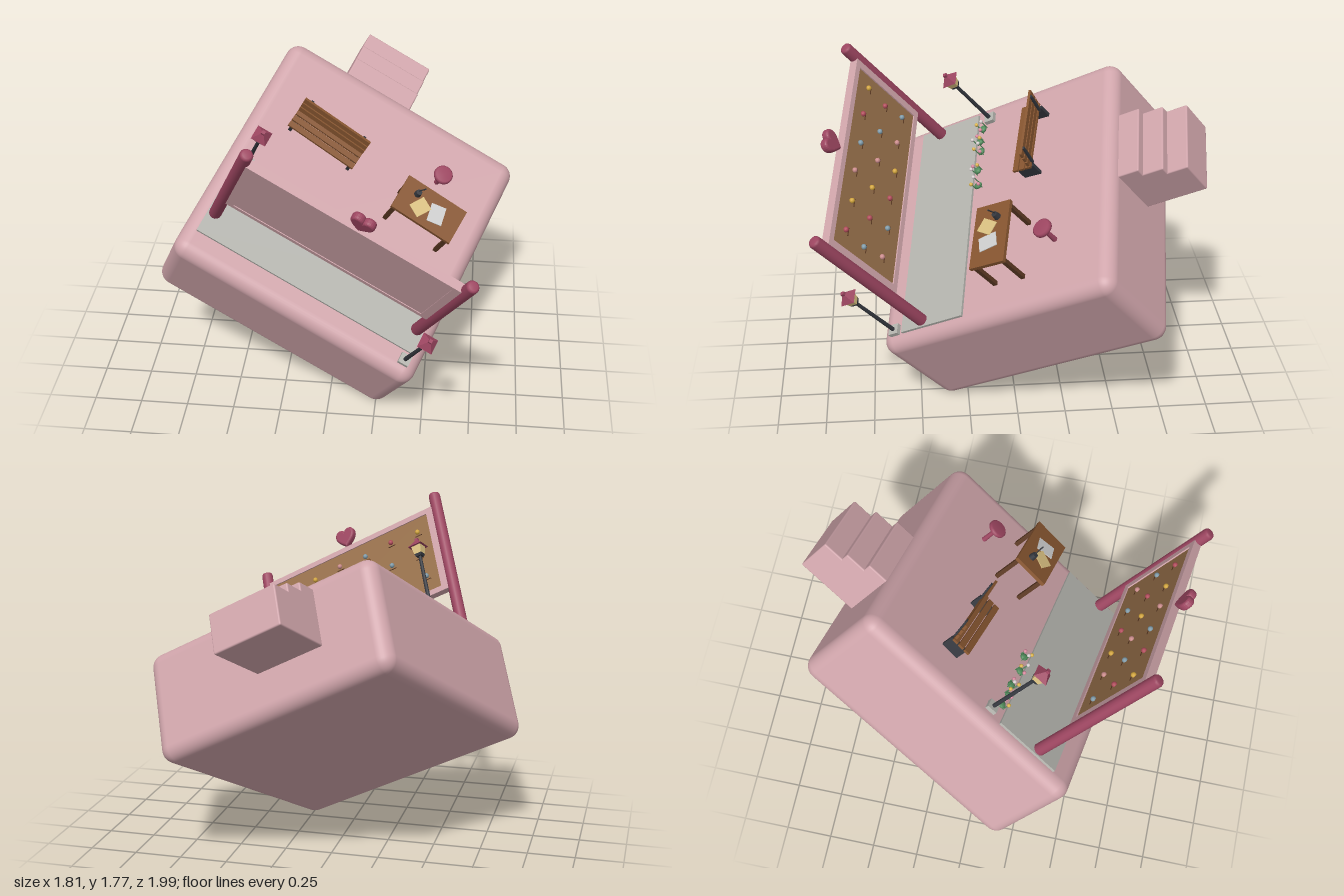
import * as THREE from 'three';
import { RoundedBoxGeometry } from 'three/addons/geometries/RoundedBoxGeometry.js';

const mats = {};
const mat = (c) => (mats[c] ??= new THREE.MeshStandardMaterial({ color: c }));
const PINK = 0xcfa4aa, ROSE = 0x9c4560, WOOD = 0x85542f, DARKWOOD = 0x5a3822, IRON = 0x33363d,
  STONE = 0xb2b2ac, CREAM = 0xd8bf80, PANEL = 0x97704a, GREEN = 0x4f8a5a;

function add(parent, name, geo, color, x = 0, y = 0, z = 0) {
  const m = new THREE.Mesh(geo, mat(color));
  m.name = name;
  m.position.set(x, y, z);
  parent.add(m);
  return m;
}
const box = (w, h, d) => new THREE.BoxGeometry(w, h, d);
const cyl = (rt, rb, h, n = 16) => new THREE.CylinderGeometry(rt, rb, h, n);
const ball = (r) => new THREE.SphereGeometry(r, 10, 8);
function group(parent, name, x = 0, y = 0, z = 0, ry = 0) {
  const g = new THREE.Group();
  g.name = name;
  g.position.set(x, y, z);
  g.rotation.y = ry;
  parent.add(g);
  return g;
}

// Street lamp: stone foot, iron pole, tapered lantern, pyramid roof
function lamp(parent, x, z) {
  const g = group(parent, 'lamp', x, 0, z);
  add(g, 'lampFoot', box(0.056, 0.024, 0.056), STONE, 0, 0.012);
  add(g, 'lampPole', cyl(0.009, 0.011, 0.31, 10), IRON, 0, 0.175);
  const square = (rt, rb, h) => cyl(rt, rb, h, 4).rotateY(Math.PI / 4).toNonIndexed();
  const flat = (geo) => { geo.computeVertexNormals(); return geo; };
  add(g, 'lanternPlate', flat(square(0.03, 0.022, 0.014)), IRON, 0, 0.332);
  add(g, 'lanternGlass', flat(square(0.039, 0.028, 0.045)), CREAM, 0, 0.361);
  add(g, 'lanternRoof', flat(square(0.012, 0.056, 0.036)), ROSE, 0, 0.401);
  add(g, 'lanternTip', box(0.018, 0.018, 0.018), ROSE, 0, 0.424);
}

// Slatted bench with solid iron ends, facing +z
function bench(parent, x, z, ry) {
  const g = group(parent, 'bench', x, 0, z, ry);
  for (const s of [-1, 1]) {
    add(g, 'benchEnd', box(0.018, 0.075, 0.1), IRON, s * 0.18, 0.0375, -0.01);
    const b = add(g, 'backSupport', box(0.016, 0.13, 0.012), IRON, s * 0.16, 0.135, -0.063);
    b.rotation.x = -0.2;
  }
  for (let i = 0; i < 3; i++) {
    add(g, 'seatSlat', box(0.4, 0.013, 0.031), WOOD, 0, 0.082, -0.035 + i * 0.038);
    const b = add(g, 'backSlat', box(0.4, 0.03, 0.013), WOOD, 0, 0.112 + i * 0.038, -0.048 - i * 0.008);
    b.rotation.x = -0.2;
  }
}

// Writing table with papers, ink pot and quill
function table(parent, x, z, ry) {
  const g = group(parent, 'table', x, 0, z, ry);
  add(g, 'tableTop', box(0.35, 0.02, 0.2), WOOD, 0, 0.19, 0);
  for (const sx of [-1, 1]) for (const sz of [-1, 1])
    add(g, 'tableLeg', box(0.022, 0.18, 0.022), DARKWOOD, sx * 0.155, 0.09, sz * 0.082);
  add(g, 'whitePaper', box(0.08, 0.004, 0.1), 0xd0d0cc, 0.045, 0.202, 0.005).rotation.y = 0.2;
  add(g, 'creamPaper', box(0.075, 0.004, 0.09), CREAM, -0.045, 0.204, 0.02).rotation.y = -0.5;
  add(g, 'inkPot', cyl(0.015, 0.019, 0.03), IRON, -0.09, 0.215, -0.035);
  add(g, 'quill', cyl(0.004, 0.002, 0.07, 6), IRON, -0.086, 0.255, -0.04).rotation.z = -0.3;
}

function stool(parent, x, z) {
  const g = group(parent, 'stool', x, 0, z);
  const seat = [[0, 0.1], [0.042, 0.1], [0.05, 0.107], [0.05, 0.121], [0.042, 0.128], [0, 0.128]];
  add(g, 'stoolSeat', new THREE.LatheGeometry(seat.map((p) => new THREE.Vector2(...p)), 20), ROSE);
  add(g, 'stoolLeg', cyl(0.011, 0.014, 0.1, 10), ROSE, 0, 0.05);
}

// Plant: leafy tuft with thin stems and small blossoms
function plant(parent, x, z, i) {
  const g = group(parent, 'plant', x, 0, z, i * 1.3);
  add(g, 'leaves', ball(0.02), GREEN, 0, 0.01).scale.set(1.1, 0.7, 1);
  const colors = [0xd98aa0, 0xdcb650, 0xd8cfd0];
  for (let k = 0; k < 3; k++) {
    const a = (k * Math.PI * 2) / 3, r = 0.022, h = 0.035 + 0.012 * ((k + i) % 3);
    add(g, 'stem', cyl(0.003, 0.003, h, 5), GREEN, r * Math.cos(a), h / 2, r * Math.sin(a));
    add(g, 'blossom', ball(0.01), colors[(k + i) % 3], r * Math.cos(a), h, r * Math.sin(a));
  }
}

function heart(parent, x, y, z) {
  const s = new THREE.Shape();
  s.moveTo(0, -0.055);
  s.bezierCurveTo(-0.03, -0.03, -0.055, -0.01, -0.055, 0.015);
  s.bezierCurveTo(-0.055, 0.055, -0.01, 0.055, 0, 0.025);
  s.bezierCurveTo(0.01, 0.055, 0.055, 0.055, 0.055, 0.015);
  s.bezierCurveTo(0.055, -0.01, 0.03, -0.03, 0, -0.055);
  const geo = new THREE.ExtrudeGeometry(s, {
    depth: 0.014, bevelEnabled: true, bevelSize: 0.012, bevelThickness: 0.014, bevelOffset: -0.006,
    bevelSegments: 4, curveSegments: 10,
  }).translate(0, 0, -0.007);
  add(parent, 'heart', geo, ROSE, x, y, z);
}

// Notice board on two round posts, its pinned side facing -z
function board(parent) {
  const g = group(parent, 'noticeBoard', 0, 0, 0.413);
  const profile = [[0, -0.03], [0.032, -0.03], [0.032, 0.842], [0.028, 0.852], [0.02, 0.857], [0, 0.857]];
  for (const s of [-1, 1])
    add(g, 'post', new THREE.LatheGeometry(profile.map((p) => new THREE.Vector2(...p)), 16), ROSE, s * 0.587);
  add(g, 'boardBack', box(1.13, 0.52, 0.026), PINK, 0, 0.515, 0.006);
  add(g, 'pinPanel', box(1.05, 0.46, 0.012), PANEL, 0, 0.515, -0.01);
  for (const s of [-1, 1]) {
    add(g, 'boardRail', box(1.13, 0.03, 0.046), PINK, 0, 0.515 + s * 0.245, 0);
    add(g, 'boardStile', box(0.04, 0.52, 0.046), PINK, s * 0.545, 0.515, 0);
  }
  const colors = [0x7f9aa8, 0xb04a5a, 0xd2a53c, 0xc98a8a];
  for (let r = 0; r < 3; r++) for (let c = 0; c < 6; c++) {
    const x = -0.45 + c * 0.175 + (r === 1 ? 0.02 : 0), y = 0.38 + r * 0.14 + 0.012 * (c % 2);
    add(g, 'pin', ball(0.014), colors[(c * 3 + r) % 4], x, y, -0.022);
    add(g, 'pinLedge', box(0.045, 0.004, 0.004), DARKWOOD, x, y - 0.022, -0.017);
  }
  heart(g, 0.012, 0.845, 0);
}

export function createModel() {
  const model = new THREE.Group();
  model.name = 'tiltedParkPlatform';

  // Everything is built upright on the platform top, then tilted as one piece
  const park = group(model, 'park');
  const up = new THREE.Vector3(0.307, 0.754, 0.58).normalize();
  const side = new THREE.Vector3(0.879, -0.459, 0.127);
  side.addScaledVector(up, -side.dot(up)).normalize();
  const front = new THREE.Vector3().crossVectors(side, up);
  park.quaternion.setFromRotationMatrix(new THREE.Matrix4().makeBasis(side, up, front));
  park.position.set(0.089, 1.04, 0.071);

  add(park, 'platform', new RoundedBoxGeometry(1.38, 0.596, 1.362, 5, 0.07), PINK, 0, -0.298, 0);
  add(park, 'pavingSlab', box(1.25, 0.03, 0.375), STONE, 0, -0.001, 0.352);

  // Steps leading down from the back edge
  for (let i = 0; i < 3; i++) {
    const top = -0.055 - i * 0.046, h = top + 0.36;
    const depth = 0.145;
    add(park, 'step', new RoundedBoxGeometry(0.385, h, depth, 2, 0.008), PINK,
      -0.16, top - h / 2, -0.793 - i * 0.111 + depth / 2);
  }

  board(park);
  lamp(park, 0.6, 0.586);
  lamp(park, -0.578, 0.088);
  bench(park, -0.29, -0.215, -0.08);
  table(park, 0.338, -0.113, -0.05);
  stool(park, 0.333, -0.362);
  [-0.52, -0.44, -0.37, -0.25, -0.15].forEach((x, i) => plant(park, x, 0.13 + 0.012 * (i % 2), i));
  return model;
}
